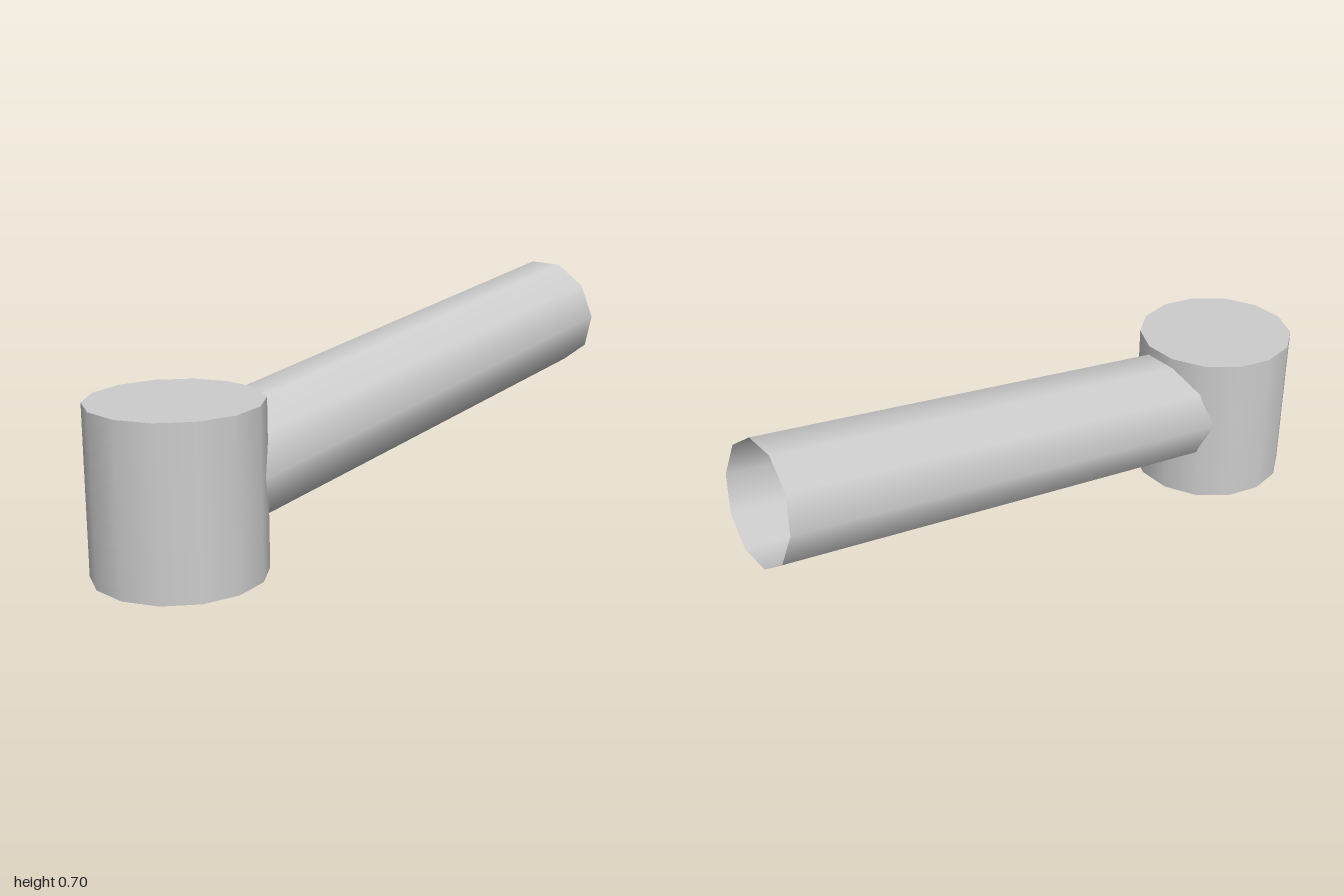
import * as THREE from 'three';

export function createModel() {
  const model = new THREE.Group();
  model.name = 'hammer';
  const grey = new THREE.MeshStandardMaterial({ color: 0xcccccc, side: THREE.DoubleSide });
  grey.name = 'light grey';

  // Upright 14-sided drum, with a flat side facing front and back
  const headHeight = 0.504;
  const head = new THREE.Mesh(
    new THREE.CylinderGeometry(0.254, 0.254, headHeight, 14, 1, false, Math.PI / 2), grey);
  head.name = 'head';
  head.position.set(0, headHeight / 2, 0.752);
  model.add(head);

  // Open 10-sided tube rising towards the back, its front end buried in the drum
  const tilt = THREE.MathUtils.degToRad(9.1);
  const axis = new THREE.Vector3(0, Math.sin(tilt), -Math.cos(tilt));
  const backEnd = new THREE.Vector3(0, 0.528, -0.972);
  const length = 1.612;
  const handle = new THREE.Mesh(
    new THREE.CylinderGeometry(0.187, 0.187, length, 10, 1, true, Math.PI / 2), grey);
  handle.name = 'handle';
  handle.rotation.x = tilt - Math.PI / 2;
  handle.position.copy(backEnd).addScaledVector(axis, -length / 2);
  model.add(handle);

  return model;
}
